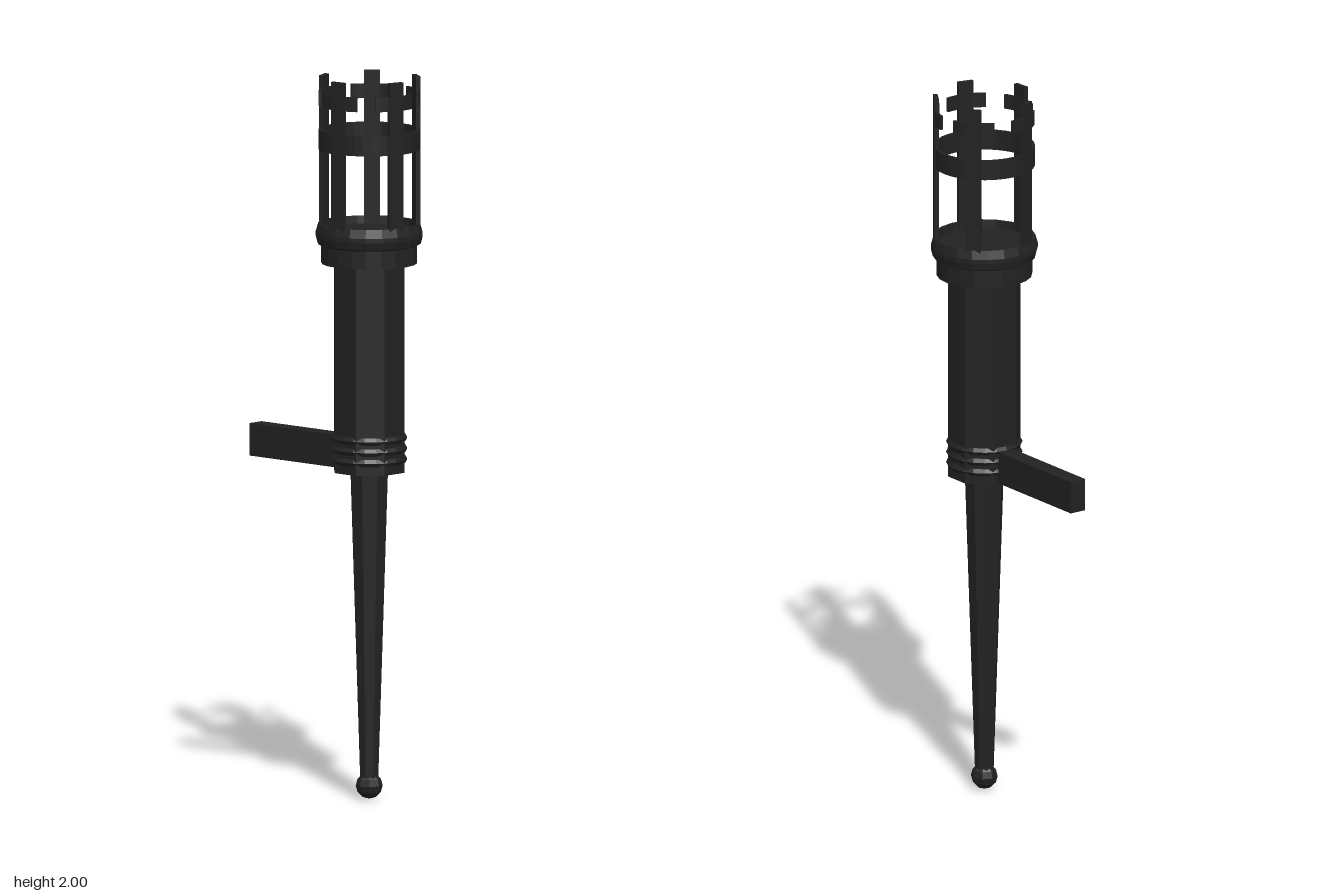
import * as THREE from 'three';

const AXIS_Z = 0.14;      // the torch stands forward of the wall bracket
const CAGE_R = 0.139;     // outer radius of the cage
const BARS = 5;
const FIRST_BAR = -14;    // degrees from +z

export function createModel() {
  const model = new THREE.Group();
  model.name = 'wallTorch';
  const iron = new THREE.MeshStandardMaterial({ color: 0x222222 });
  iron.name = 'blackIron';
  iron.flatShading = true;

  const torch = new THREE.Group();
  torch.name = 'torch';
  torch.position.z = AXIS_Z;
  model.add(torch);

  const add = (name, geometry, y = 0, parent = torch) => {
    const mesh = new THREE.Mesh(geometry, iron);
    mesh.name = name;
    mesh.position.y = y;
    parent.add(mesh);
    return mesh;
  };
  const lathe = (points, sides, phase = 0) =>
    new THREE.LatheGeometry(points.map(([r, y]) => new THREE.Vector2(r, y)), sides, phase);

  // Curved flat strip around the cage, centred on angle 0 (towards +z)
  const strip = (halfAngle, height) => {
    const inner = CAGE_R - 0.008;
    const shape = new THREE.Shape();
    if (halfAngle >= Math.PI) {
      shape.absarc(0, 0, CAGE_R, 0, Math.PI * 2);
      shape.holes.push(new THREE.Path().absarc(0, 0, inner, 0, Math.PI * 2, true));
    } else {
      const mid = -Math.PI / 2;
      shape.absarc(0, 0, CAGE_R, mid - halfAngle, mid + halfAngle);
      shape.absarc(0, 0, inner, mid + halfAngle, mid - halfAngle, true);
    }
    const steps = halfAngle >= Math.PI ? 10 : 4;
    return new THREE.ExtrudeGeometry(shape, { depth: height, bevelEnabled: false, curveSegments: steps * 2 })
      .rotateX(-Math.PI / 2);
  };

  // Pommel and tapered octagonal shaft
  add('pommel', new THREE.SphereGeometry(0.037, 8, 6), 0.037);
  const eighth = Math.PI / 8;
  add('shaft', lathe([[0, 0.04], [0.026, 0.04], [0.055, 0.91], [0, 0.91]], 8, eighth));

  // Octagonal sleeve with three raised rings
  add('sleeve', lathe([[0, 0.908], [0.103, 0.908], [0.103, 1.49], [0, 1.49]], 8, eighth));
  for (const y of [0.942, 0.972, 1.002]) {
    add('sleeveRing', new THREE.TorusGeometry(0.093, 0.012, 6, 20).rotateX(Math.PI / 2), y);
  }

  // Cup: collar, bulging rim and recessed floor
  add('cup', lathe([
    [0, 1.485], [0.132, 1.485], [0.132, 1.535], [0.142, 1.54], [0.147, 1.56],
    [0.147, 1.572], [0.14, 1.596], [0.133, 1.596], [0.131, 1.575], [0, 1.575],
  ], 20, 0.06));

  // Cage: hoop, upright bars and short cross tabs
  const cage = new THREE.Group();
  cage.name = 'cage';
  torch.add(cage);
  add('hoop', strip(Math.PI, 0.056), 1.8, cage);
  for (let i = 0; i < BARS; i++) {
    const rib = new THREE.Group();
    rib.name = 'cageRib';
    rib.rotation.y = THREE.MathUtils.degToRad(FIRST_BAR + i * 360 / BARS);
    cage.add(rib);
    const bar = add('bar', new THREE.BoxGeometry(0.044, 0.43, 0.012), 1.785, rib);
    bar.position.z = CAGE_R - 0.006;
    add('crossTab', strip(THREE.MathUtils.degToRad(25), 0.04), 1.922, rib);
  }

  // Wall bracket reaching backwards
  const arm = add('wallBracket', new THREE.BoxGeometry(0.049, 0.09, 0.368), 0.955, model);
  arm.position.z = -0.104;

  return model;
}
